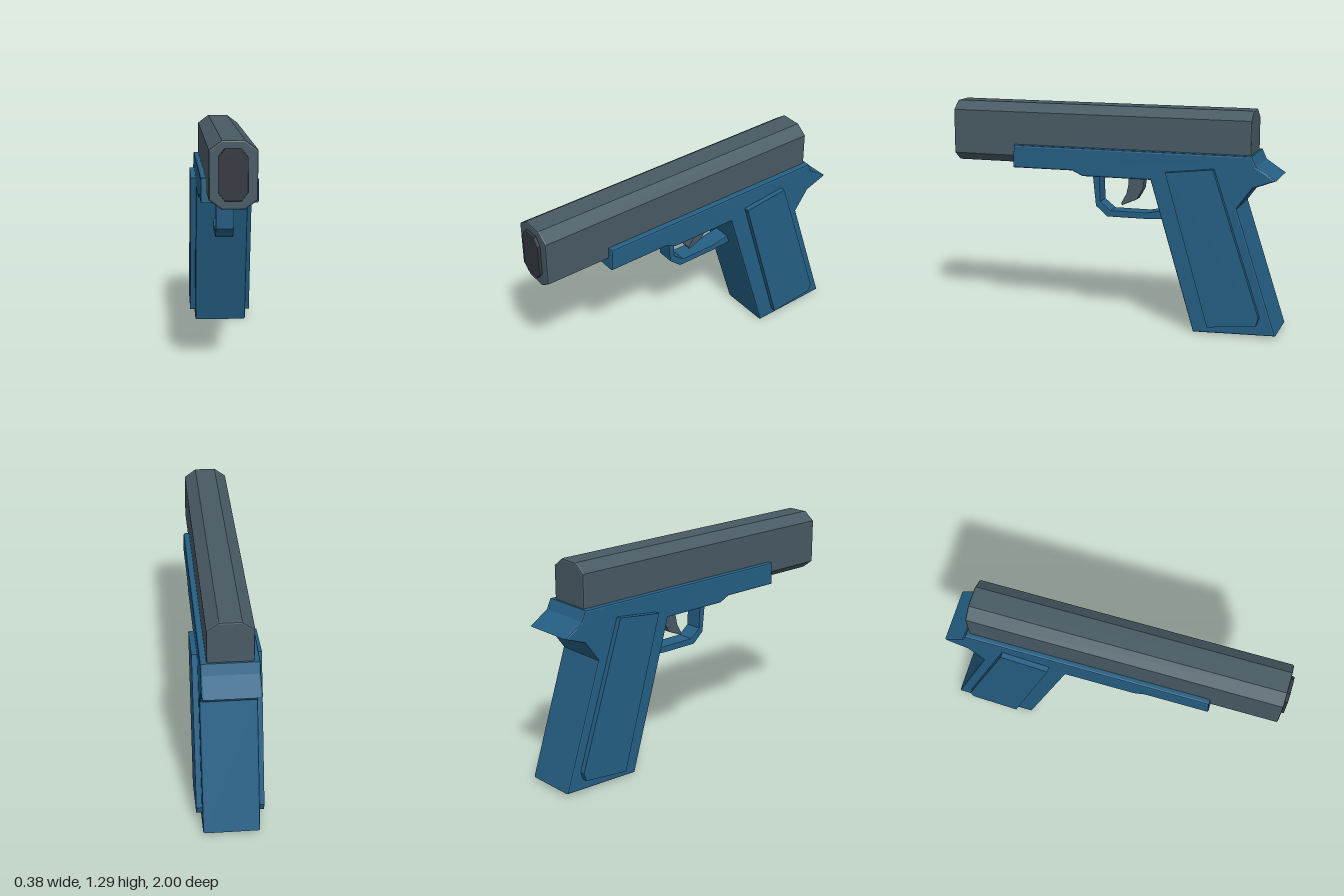
import * as THREE from 'three';

const material = (name, color) => new THREE.MeshStandardMaterial({ name, color });

// Bevelled solid from an outline, with its thickness centred on the origin
function slab(points, width, bevel) {
  const shape = new THREE.Shape(points.map(([a, b]) => new THREE.Vector2(a, b)));
  const depth = width - 2 * bevel;
  const geometry = new THREE.ExtrudeGeometry(shape, {
    depth,
    bevelEnabled: bevel > 0,
    bevelSize: bevel,
    bevelThickness: bevel,
    bevelOffset: -bevel,
    bevelSegments: 2,
  });
  return geometry.translate(0, 0, -depth / 2);
}

// Outline given as [z, y], thickness along x
const sideSlab = (points, width, bevel) => slab(points, width, bevel).rotateY(-Math.PI / 2);

// Rectangle with cut corners, centred on the origin
function cutRect(w, h, cx, cy) {
  const x = w / 2, y = h / 2;
  return [
    [x, -y + cy], [x, y - cy], [x - cx, y], [-x + cx, y],
    [-x, y - cy], [-x, -y + cy], [-x + cx, -y], [x - cx, -y],
  ];
}

export function createModel() {
  const model = new THREE.Group();
  const blue = material('blue', 0x255f84);
  const steel = material('steel grey', 0x485a64);
  const dark = material('dark grey', 0x32383f);

  const add = (name, geometry, mat, x = 0, y = 0, z = 0) => {
    const mesh = new THREE.Mesh(geometry, mat);
    mesh.name = name;
    mesh.position.set(x, y, z);
    model.add(mesh);
  };

  // Eight-sided slide and the dark plate at its front
  add('slide', slab(cutRect(0.255, 0.36, 0.067, 0.05), 1.815, 0.01), steel, -0.002, 1.116, 0.0745);
  add('muzzlePlate', slab(cutRect(0.156, 0.27, 0.035, 0.043), 0.05, 0.003), dark, -0.005, 1.118, 0.975);

  // Frame and grip in one outline
  add('frame', sideSlab([
    [0.587, 1.053], [0.592, 0.918], [0.222, 0.918], [0.158, 0.888],
    [-0.255, 0.888], [-0.517, 0.005], [-1.0, 0.02], [-0.763, 0.75],
    [-0.85, 0.87], [-0.983, 0.92], [-0.87, 0.995], [-0.844, 1.053],
  ], 0.32, 0.01), blue);

  // Raised panel on each side of the grip
  for (const side of [-1, 1]) {
    add(side > 0 ? 'leftGripPanel' : 'rightGripPanel', sideSlab([
      [-0.351, 0.941], [-0.63, 0.973], [-0.908, 0.128], [-0.892, 0.08], [-0.608, 0.05],
    ], 0.05, 0), blue, side * 0.166);
  }

  // Trigger guard, running from frame to grip
  add('triggerGuard', sideSlab([
    [0.131, 0.9], [0.11, 0.695], [0.04, 0.634], [-0.19, 0.634], [-0.36, 0.645],
    [-0.36, 0.703], [-0.2, 0.671], [0.019, 0.671], [0.083, 0.722], [0.088, 0.9],
  ], 0.106, 0.003), blue, -0.002);

  // Curved trigger
  add('trigger', sideSlab([
    [-0.083, 0.91], [-0.085, 0.83], [-0.073, 0.775], [-0.04, 0.715], [-0.045, 0.703],
    [-0.137, 0.743], [-0.174, 0.807], [-0.185, 0.888], [-0.185, 0.91],
  ], 0.064, 0.003), steel, -0.002);

  return model;
}
